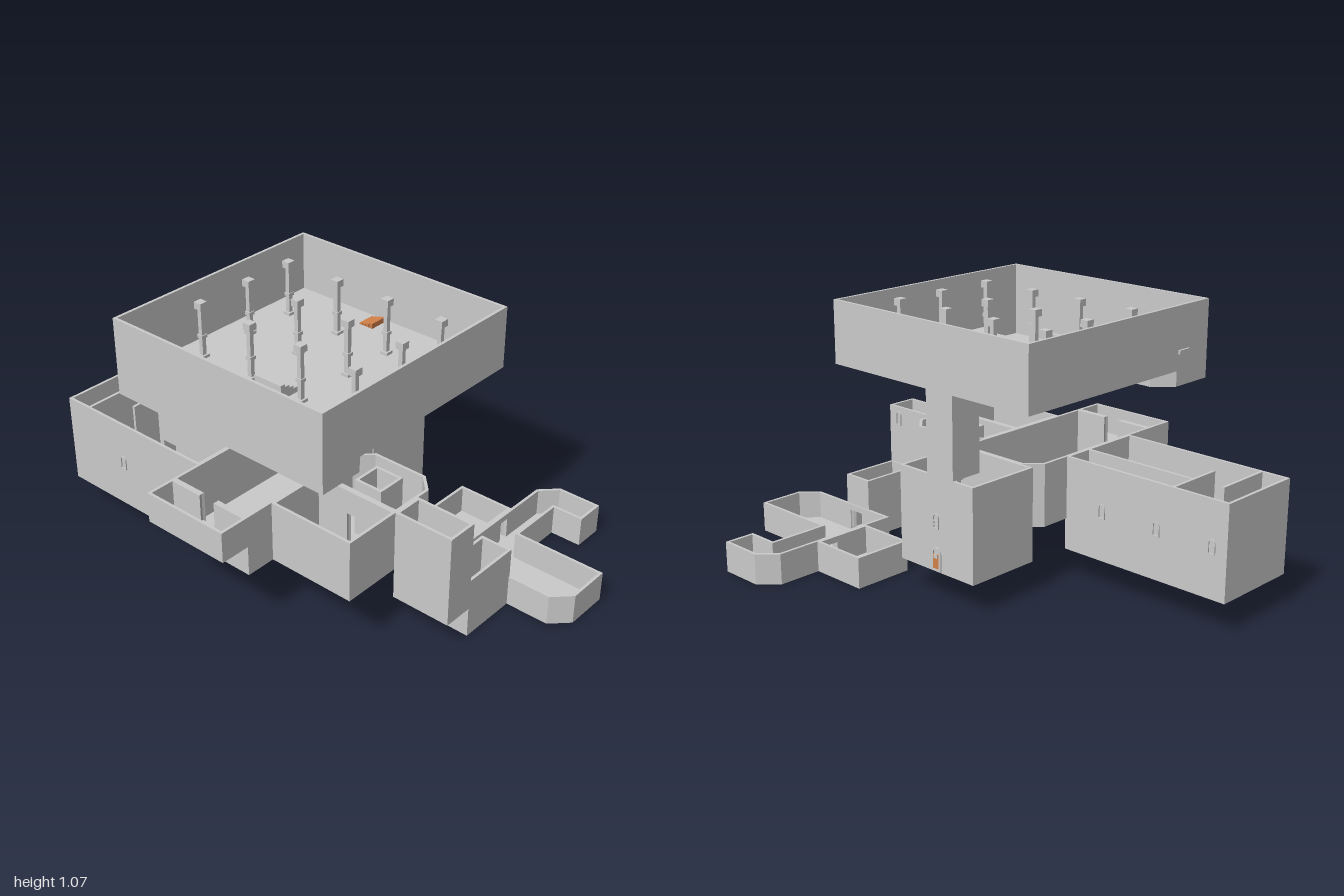
import * as THREE from 'three';

const T = 0.012; // wall and floor thickness
const grey = new THREE.MeshStandardMaterial({ color: 0xcccccc, flatShading: true });
const orange = new THREE.MeshStandardMaterial({ color: 0xd4824a, flatShading: true });

const rect = (x0, z0, x1, z1) => [[x0, z0], [x1, z0], [x1, z1], [x0, z1]];
const toShape = pts => new THREE.Shape(pts.map(([x, z]) => new THREE.Vector2(x, -z)));

function add(parent, name, geometry, material = grey) {
  const mesh = new THREE.Mesh(geometry, material);
  mesh.name = name;
  parent.add(mesh);
  return mesh;
}

function box(parent, name, x0, y0, z0, x1, y1, z1, material = grey) {
  const mesh = add(parent, name, new THREE.BoxGeometry(x1 - x0, y1 - y0, z1 - z0), material);
  mesh.position.set((x0 + x1) / 2, (y0 + y1) / 2, (z0 + z1) / 2);
  return mesh;
}

// Upright prism over a plan outline
function slab(parent, name, pts, y0, y1, hole) {
  const shape = toShape(pts);
  if (hole) shape.holes.push(toShape(hole));
  const geometry = new THREE.ExtrudeGeometry(shape, { depth: y1 - y0, bevelEnabled: false });
  geometry.rotateX(-Math.PI / 2);
  add(parent, name, geometry).position.y = y0;
}

// Outline moved inwards by d, with mitred corners
function inset(pts, d) {
  const n = pts.length;
  const area = pts.reduce((s, p, i) => s + p[0] * pts[(i + 1) % n][1] - pts[(i + 1) % n][0] * p[1], 0);
  const normal = (a, b) => {
    const l = Math.hypot(b[0] - a[0], b[1] - a[1]) * Math.sign(area);
    return [-(b[1] - a[1]) / l, (b[0] - a[0]) / l];
  };
  return pts.map((p, i) => {
    const a = normal(pts[(i + n - 1) % n], p), b = normal(p, pts[(i + 1) % n]);
    const k = d / (1 + a[0] * b[0] + a[1] * b[1]);
    return [p[0] + (a[0] + b[0]) * k, p[1] + (a[1] + b[1]) * k];
  });
}

// Open-topped room; doors maps an edge index to [start, end, height] as fractions of that wall
function room(parent, name, pts, y0, y1, { doors = {}, floor = pts, hole = null } = {}) {
  const group = new THREE.Group();
  group.name = name;
  parent.add(group);
  const inner = inset(pts, T);
  const mix = (a, b, t) => [a[0] + (b[0] - a[0]) * t, a[1] + (b[1] - a[1]) * t];
  pts.forEach((p, i) => {
    const j = (i + 1) % pts.length;
    const part = (s, e, from) => slab(group, 'wall', [
      mix(p, pts[j], s), mix(p, pts[j], e), mix(inner[i], inner[j], e), mix(inner[i], inner[j], s)], from, y1);
    const door = doors[i];
    if (!door) return part(0, 1, y0);
    part(0, door[0], y0);
    part(door[1], 1, y0);
    if (door[2] < 1) part(door[0], door[1], y0 + (y1 - y0) * door[2]);
  });
  if (floor) slab(group, 'floor', floor, y0, y0 + T, hole);
  return group;
}

function archPath(Type, w, h) {
  const p = new Type();
  p.moveTo(-w / 2, 0);
  p.lineTo(w / 2, 0);
  p.lineTo(w / 2, h - w / 2);
  p.absarc(0, h - w / 2, w / 2, 0, Math.PI, false);
  p.lineTo(-w / 2, 0);
  return p;
}

// Arched frame lying against an x-facing wall
function archFrame(parent, name, x, y, z, w, h, rim, side = 1) {
  const shape = archPath(THREE.Shape, w, h);
  const opening = archPath(THREE.Path, w - 2 * rim, h - 2 * rim);
  shape.holes.push(new THREE.Path(opening.getPoints(6).map(p => p.setY(p.y + rim))));
  const frame = add(parent, name, new THREE.ExtrudeGeometry(shape, { depth: 0.005, bevelEnabled: false, curveSegments: 6 }));
  frame.position.set(x, y, z);
  frame.rotation.y = side * Math.PI / 2;
}

// Solid flight along x: from the low end to the high end
function stairs(parent, name, xLow, xHigh, z0, z1, y0, y1, n, material = grey) {
  const dx = (xHigh - xLow) / n;
  for (let i = 0; i < n; i++) {
    const a = xLow + i * dx, b = a + dx;
    box(parent, name, Math.min(a, b), y0, z0, Math.max(a, b), y0 + (y1 - y0) * (i + 1) / n, z1, material);
  }
}

// Square pillar with base, collar and capital
function pillar(parent, x, z, y, h) {
  const group = new THREE.Group();
  group.name = 'pillar';
  parent.add(group);
  for (const [w, a, b] of [[0.034, 0, 0.06], [0.018, 0.06, 0.88], [0.026, 0.36, 0.42], [0.034, 0.88, 1]])
    box(group, 'pillarPart', x - w / 2, y + a * h, z - w / 2, x + w / 2, y + b * h, z + w / 2);
}

export function createModel() {
  const model = new THREE.Group();
  model.name = 'castleInterior';

  // Top hall with its sunken side bay
  const upperFloor = [[-0.44, -0.515], [0.375, -0.515], [0.375, 0.485], [-0.44, 0.485], [-0.37, 0.415], [-0.37, -0.445]];
  const bay = [[-0.625, -0.515], [-0.44, -0.515], [-0.37, -0.445], [-0.37, 0.415], [-0.44, 0.485], [-0.625, 0.485]];
  const hall = room(model, 'topHall', rect(-0.625, -0.515, 0.375, 0.485), 0.82, 1.07, { floor: upperFloor });
  room(model, 'sunkenBay', bay, 0.76, 0.82);
  for (const x of [-0.315, -0.065, 0.155])
    for (const z of [-0.39, -0.14, 0.105, 0.355]) pillar(hall, x, z, 0.83, 0.23);
  stairs(hall, 'hallStep', -0.25, -0.36, -0.08, 0.05, 0.83, 0.89, 5);
  box(hall, 'wallSlit', -0.505, 0.885, -0.524, -0.445, 0.9, -0.515);

  // Wooden ladder hatch above the tower
  for (let i = 0; i < 4; i++)
    box(hall, 'hatchStep', 0.27, 0.832, -0.125 + i * 0.017, 0.345, 0.838 + i * 0.005, -0.112 + i * 0.017, orange);

  // Tower between the hall and the gatehouse
  room(model, 'tower', rect(0.24, -0.15, 0.375, -0.015), 0.5, 0.82, { floor: null });

  // Gatehouse with door and barred window
  const gate = room(model, 'gatehouse', rect(0.06, -0.25, 0.375, 0.13), 0.125, 0.5, { doors: { 3: [0.4, 0.6, 0.6] } });
  for (const x of [0.15, 0.27]) for (const z of [-0.19, 0.06]) pillar(gate, x, z, 0.137, 0.3);
  archFrame(gate, 'doorFrame', 0.375, 0.128, -0.06, 0.05, 0.095, 0.01);
  box(gate, 'door', 0.373, 0.13, -0.076, 0.379, 0.195, -0.044, orange);
  box(gate, 'doorGrille', 0.377, 0.18, -0.069, 0.382, 0.195, -0.051);
  archFrame(gate, 'windowFrame', 0.375, 0.295, -0.06, 0.03, 0.06, 0.005);
  for (const y of [0.31, 0.325]) box(gate, 'windowBar', 0.375, y, -0.073, 0.379, y + 0.004, -0.047);

  // Rear wing with partitions and two flights of stairs
  const wing = room(model, 'rearWing', rect(-0.5, -0.995, -0.125, -0.25), 0.125, 0.5);
  box(wing, 'partition', -0.5, 0.125, -0.885, -0.25, 0.5, -0.873);
  box(wing, 'partition', -0.375, 0.125, -0.756, -0.125, 0.5, -0.744);
  box(wing, 'partition', -0.256, 0.125, -0.65, -0.244, 0.5, -0.25);
  box(wing, 'partition', -0.256, 0.125, -0.75, -0.244, 0.5, -0.72);
  box(wing, 'lintel', -0.256, 0.3, -0.72, -0.244, 0.5, -0.65);
  stairs(wing, 'wingStep', -0.25, -0.37, -0.98, -0.885, 0.137, 0.25, 6);
  stairs(wing, 'wingStep', -0.37, -0.25, -0.87, -0.76, 0.137, 0.25, 6);
  for (const z of [-0.43, -0.685, -0.93]) archFrame(wing, 'windowFrame', -0.125, 0.295, z, 0.032, 0.058, 0.005);
  archFrame(wing, 'windowFrame', -0.5, 0.295, -0.685, 0.032, 0.058, 0.005, -1);

  // Middle floor rooms
  room(model, 'centralRoom', [[-0.625, -0.255], [0, -0.255], [0.06, -0.195], [0.06, 0.125], [-0.625, 0.125]],
    0.25, 0.5, { doors: { 2: [0.4, 0.6, 0.6], 3: [0.2, 0.3, 0.6], 4: [0.4, 0.6, 1] } });
  room(model, 'sideGallery', rect(-0.75, -0.255, -0.625, 0.125), 0.375, 0.5, { doors: { 1: [0.4, 0.6, 1] } });
  room(model, 'cornerRoom', rect(-0.5, 0.125, -0.25, 0.495), 0.25, 0.5, { doors: { 1: [0.4, 0.6, 0.6] } });
  const shaft = rect(-0.19, 0.25, -0.065, 0.375);
  const around = room(model, 'ringRoom',
    [[-0.25, 0.125], [-0.065, 0.125], [0, 0.195], [0, 0.43], [-0.065, 0.495], [-0.25, 0.495]],
    0.25, 0.5, { doors: { 4: [0.2, 0.5, 0.6], 5: [0.4, 0.6, 0.6] }, hole: shaft });
  room(around, 'lightShaft', shaft, 0.25, 0.5, { floor: null });
  for (const y of [0.295, 0.42]) archFrame(around, 'windowFrame', 0, y, 0.31, 0.03, 0.06, 0.005);

  // Front turret and stair passage down to the cellar
  const turret = room(model, 'frontTurret', rect(-0.255, 0.495, -0.125, 0.745), 0.125, 0.5, { doors: { 1: [0.6, 0.85, 0.3] } });
  archFrame(turret, 'windowFrame', -0.125, 0.42, 0.69, 0.03, 0.06, 0.005);
  const passage = room(model, 'stairPassage', rect(-0.13, 0.61, 0.125, 0.745), 0, 0.25, { doors: { 1: [0.25, 0.75, 0.45] } });
  stairs(passage, 'woodenStep', -0.005, -0.118, 0.65, 0.705, T, 0.137, 6, orange);
  for (const z of [0.648, 0.703]) {
    const rail = box(passage, 'handrail', -0.082, -0.003, -0.003, 0.082, 0.003, 0.003, orange);
    rail.position.set(-0.061, 0.13, z);
    rail.rotation.z = -0.84;
  }

  // Cellar with a winding corridor and side chamber
  room(model, 'cellar', [[0.12, 0.49], [0.675, 0.49], [0.745, 0.56], [0.745, 0.745], [0.615, 0.745], [0.615, 0.615],
    [0.375, 0.615], [0.375, 0.995], [0.19, 0.995], [0.12, 0.925]], 0, 0.125,
  { doors: { 0: [0.52, 0.6, 0.8], 9: [0.48, 0.65, 0.8] } });
  room(model, 'sideChamber', rect(0.245, 0.245, 0.495, 0.49), 0, 0.125, { doors: { 2: [0.15, 0.35, 0.8] } });

  return model;
}
